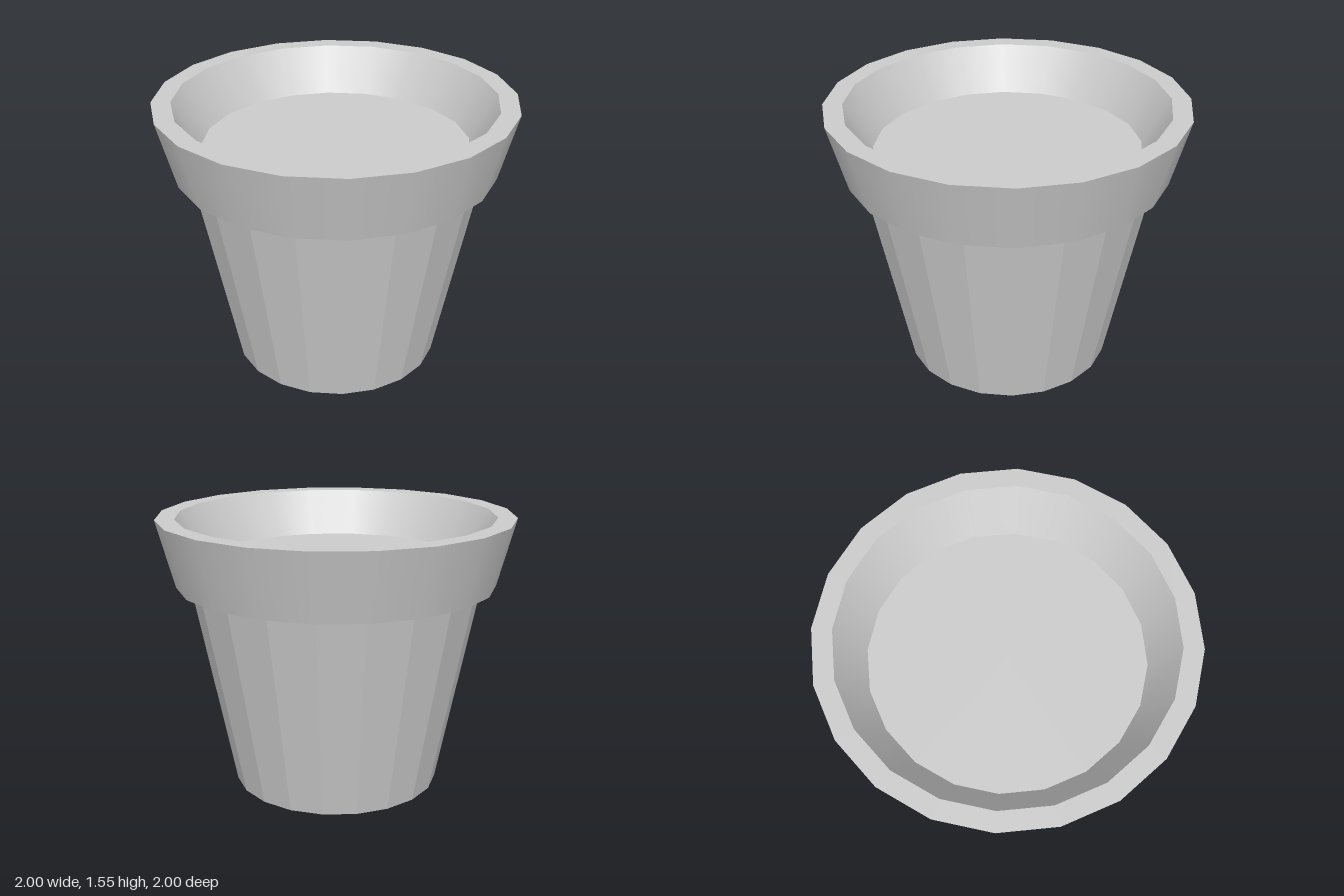
import * as THREE from 'three';
import { mergeGeometries } from 'three/addons/utils/BufferGeometryUtils.js';

const SIDES = 20;

// Revolve each profile segment separately so the edges between bands stay sharp
function revolve(profile) {
  const points = profile.map(([r, y]) => new THREE.Vector2(r, y));
  const bands = [];
  for (let i = 0; i < points.length - 1; i++) {
    bands.push(new THREE.LatheGeometry([points[i], points[i + 1]], SIDES));
  }
  return mergeGeometries(bands);
}

function part(name, profile, flatShading = false) {
  const material = new THREE.MeshStandardMaterial({ color: 0xcccccc, flatShading });
  const mesh = new THREE.Mesh(revolve(profile), material);
  mesh.name = name;
  return mesh;
}

export function createModel() {
  const pot = new THREE.Group();
  pot.name = 'flowerPot';

  // Faceted tapering body with a closed base
  pot.add(part('body', [[0, 0], [0.59, 0], [0.82, 1.175]], true));

  // Flared collar: underside, outer wall, lip and inner wall
  pot.add(part('rim', [[0.82, 1.175], [0.9, 1.175], [1, 1.555], [0.893, 1.555], [0.745, 1.3]]));

  // Flat soil surface inside the rim
  pot.add(part('soil', [[0.745, 1.3], [0, 1.3]]));

  return pot;
}
